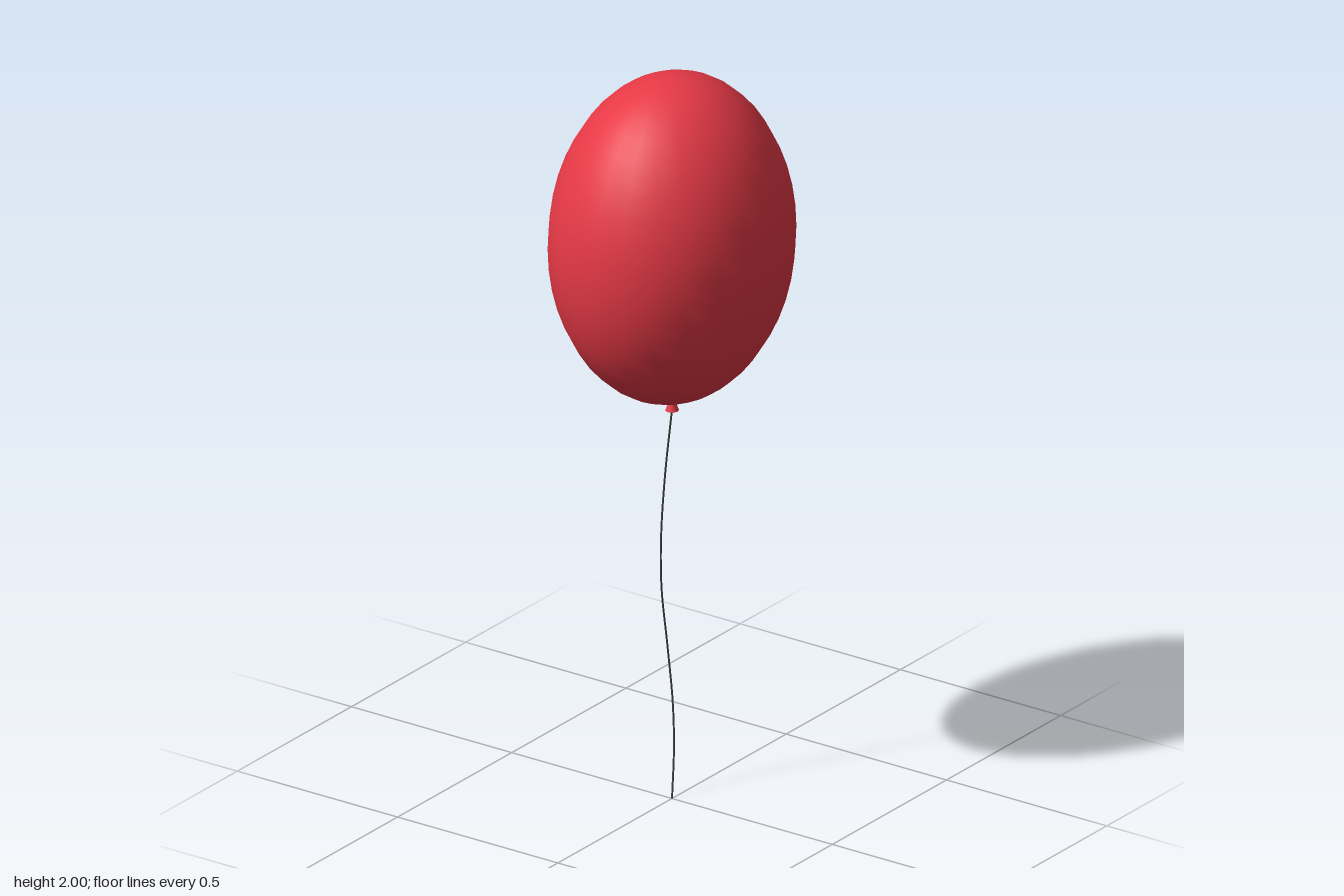
import * as THREE from 'three';

export function createModel() {
  const model = new THREE.Group();
  model.name = 'balloon';
  const red = new THREE.MeshStandardMaterial({ name: 'balloonRed', color: 0xe63946 });
  const dark = new THREE.MeshStandardMaterial({ name: 'stringGrey', color: 0x444444 });

  const add = (name, geometry, material, y = 0) => {
    const mesh = new THREE.Mesh(geometry, material);
    mesh.name = name;
    mesh.position.y = y;
    model.add(mesh);
  };

  // Inflated body: an egg-tall ellipsoid, slightly flatter front to back
  const body = new THREE.SphereGeometry(1, 24, 24);
  body.scale(0.348, 0.443, 0.301);
  add('body', body, red, 1.557);

  // Tied neck: small cone flaring downwards
  add('knot', new THREE.ConeGeometry(0.018, 0.045, 8), red, 1.1);

  // Trailing string with a gentle double bend
  const path = new THREE.CatmullRomCurve3([
    [0, 1.08, 0],
    [-0.006, 0.9, -0.017],
    [-0.011, 0.73, -0.026],
    [-0.004, 0.58, -0.03],
    [0.018, 0.41, -0.027],
    [0.03, 0.25, -0.019],
    [0.024, 0.13, -0.011],
    [0, 0, 0],
  ].map((p) => new THREE.Vector3(...p)));
  add('string', new THREE.TubeGeometry(path, 32, 0.0025, 6), dark);

  return model;
}
